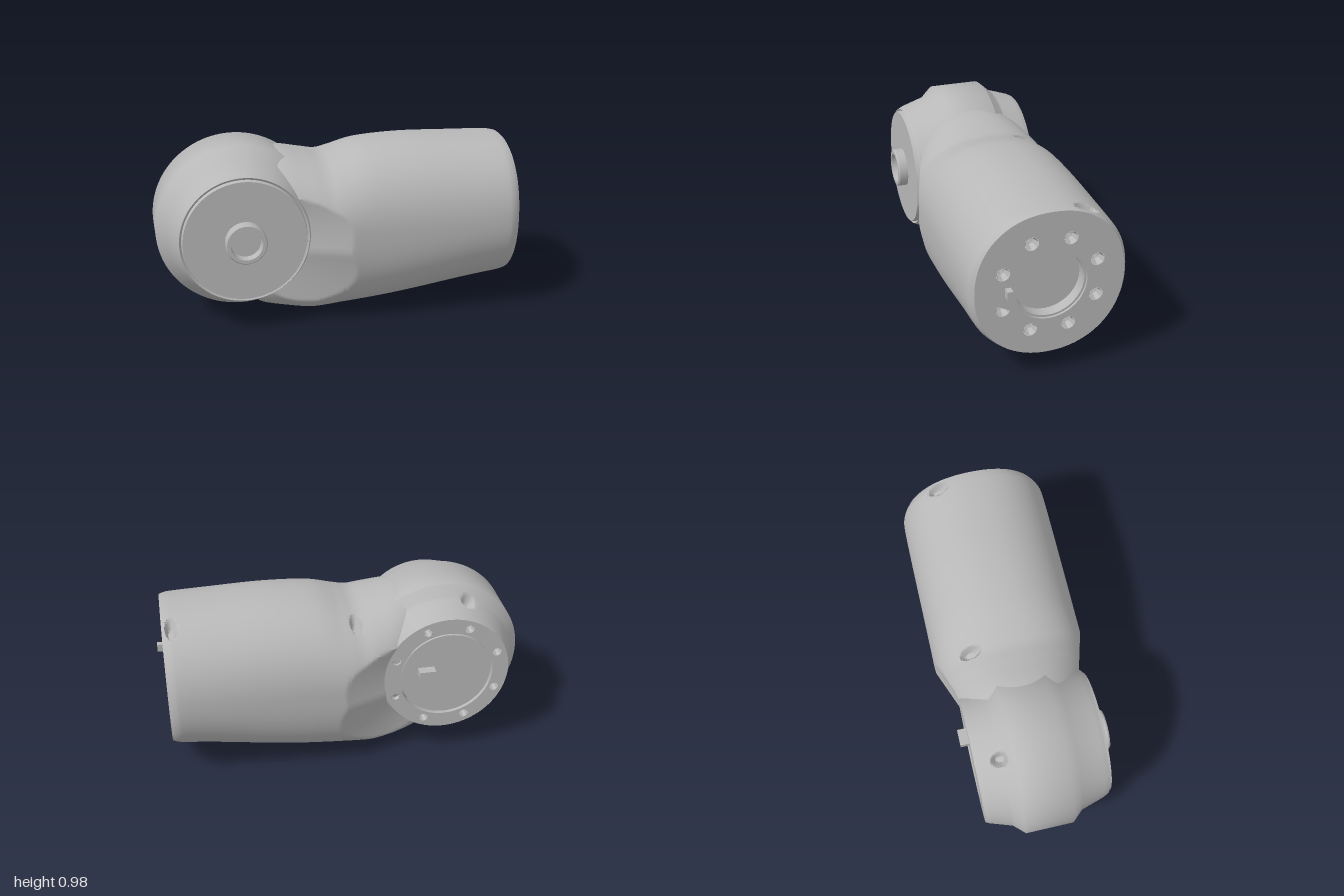
import * as THREE from 'three';
import { toCreasedNormals } from 'three/addons/utils/BufferGeometryUtils.js';

const CX = -0.545, CY = 0.53;   // joint axis, runs along z
const { smoothstep, clamp, degToRad } = THREE.MathUtils;

// Body sections: x, top, bottom, half width
const SECTIONS = [
  [-0.50, 0.93, 0.09, 0.22], [-0.43, 0.935, 0.04, 0.28], [-0.30, 0.928, 0.02, 0.36],
  [-0.17, 0.90, 0.005, 0.40], [-0.08, 0.884, 0.011, 0.412], [0.0, 0.90, 0.022, 0.42],
  [0.15, 0.94, 0.036, 0.42], [0.40, 0.955, 0.065, 0.42], [0.68, 0.947, 0.10, 0.42],
  [0.88, 0.94, 0.124, 0.418], [0.93, 0.937, 0.13, 0.41], [0.96, 0.932, 0.134, 0.39],
];
const heights = new THREE.CatmullRomCurve3(
  SECTIONS.map(([x, t, b]) => new THREE.Vector3(x, t, b)), false, 'catmullrom');
const widths = new THREE.CatmullRomCurve3(
  SECTIONS.map(([x, , , w]) => new THREE.Vector3(x, w, 0)), false, 'catmullrom');

// Screw pockets pressed into the body: x, z, on top (1) or underneath (-1)
const POCKETS = [[-0.06, -0.22, 1], [0.91, -0.19, 1], [0.91, -0.19, -1]];
const press = d => clamp((1 - d) * 2, 0, 1);   // pocket depth from rim to floor

function bodyPoint(u, t) {
  const h = heights.getPoint(u), hw = widths.getPoint(u).y;
  // the underside is squarer near the joint
  const power = Math.sin(t) > 0 ? 2.2 : 2.5 - 0.4 * smoothstep(h.x, 0.2, 0.9);
  const bend = v => Math.sign(v) * Math.abs(v) ** (2 / power);
  const c = bend(Math.cos(t)), s = bend(Math.sin(t));
  let y = CY + s * (s > 0 ? h.y - CY : CY - h.z);
  // flanks are scooped away around the joint, deeper towards the bottom
  const d = Math.hypot(h.x - CX, y - CY);
  const limit = 0.32 + 0.4 * Math.max(0, d - 0.32) - 0.4 * Math.max(0, CY - y - 0.1);
  const z = clamp(hw * c, -limit, limit);
  for (const [px, pz, side] of POCKETS)
    if (s * side > 0) y -= side * 0.05 * press(Math.hypot((h.x - px) / 0.034, (z - pz) / 0.06));
  return new THREE.Vector3(h.x, y, z);
}

function bodyGeometry(slices, sides) {
  const pos = [], index = [];
  for (let i = 0; i <= slices; i++)
    for (let j = 0; j < sides; j++)
      pos.push(...bodyPoint(i / slices, (j / sides) * Math.PI * 2).toArray());
  for (let i = 0; i < slices; i++)
    for (let j = 0; j < sides; j++) {
      const k = (j + 1) % sides;
      const a = i * sides + j, b = a + sides, c = i * sides + k, d = c + sides;
      index.push(a, b, c, b, d, c);
    }
  const g = new THREE.BufferGeometry();
  g.setAttribute('position', new THREE.Float32BufferAttribute(pos, 3));
  g.setIndex(index);
  return toCreasedNormals(g, 0.6);
}

const lathe = (points, sides) => new THREE.LatheGeometry(
  points.map(([r, y]) => new THREE.Vector2(r, y)), sides);

// Joint drum, turned about z, with screw pockets in its rear bevel
function drumGeometry() {
  const profile = [[0.35, -0.33], [0.36, -0.31], [0.40, -0.19], [0.455, -0.13], [0.455, 0.13],
    [0.40, 0.19], [0.36, 0.32], [0.345, 0.35], [0.334, 0.343], [0.328, 0.365], [0, 0.365]];
  const fine = [];
  profile.forEach((p, i) => {
    const q = profile[i + 1];
    const n = q && i < 3 ? 12 : 1;
    for (let k = 0; k < n; k++)
      fine.push(q ? [p[0] + (q[0] - p[0]) * k / n, p[1] + (q[1] - p[1]) * k / n] : p);
  });
  const g = lathe(fine, 240).rotateX(Math.PI / 2);
  const p = g.attributes.position;
  for (let i = 0; i < p.count; i++) {
    const x = p.getX(i), y = p.getY(i), z = p.getZ(i);
    for (const deg of [110, 200, 270]) {
      const a = degToRad(deg);
      const d = Math.hypot((x - 0.4 * Math.cos(a)) / 0.04, (y - 0.4 * Math.sin(a)) / 0.04,
        (z + 0.2) / 0.055);
      const k = 1 - 0.12 * press(d);
      if (d < 1) p.setXY(i, x * k, y * k);
    }
  }
  return toCreasedNormals(g, 0.8);
}

// Eight bolt positions on a circle
const boltCircle = r => Array.from({ length: 8 }, (_, i) => {
  const a = (i + 0.5) * Math.PI / 4;
  return [r * Math.cos(a), r * Math.sin(a)];
});

const circlePath = (x, y, r) => new THREE.Path().absarc(x, y, r, 0, Math.PI * 2, true);

export function createModel() {
  const model = new THREE.Group();
  const casting = new THREE.MeshStandardMaterial({ color: 0xb8b8b8, side: THREE.DoubleSide });
  casting.name = 'grey casting';

  const add = (name, geometry, parent = model, x = 0, y = 0, z = 0) => {
    const m = new THREE.Mesh(geometry, casting);
    m.name = name;
    m.position.set(x, y, z);
    parent.add(m);
  };
  // flat face (facing +z) with bolt pits and a central opening
  const boltedFace = (name, outline, bore, boltRadius, holeRadius) => {
    const group = new THREE.Group();
    group.name = name;
    outline.holes.push(circlePath(0, 0, bore));
    for (const [x, y] of boltCircle(boltRadius)) {
      outline.holes.push(circlePath(x, y, holeRadius));
      const pit = lathe([[0, -0.05], [holeRadius * 0.6, -0.04], [holeRadius, 0]], 7);
      add('boltPit', toCreasedNormals(pit.rotateX(Math.PI / 2), 0.2), group, x, y);
    }
    add(name + 'Plate', new THREE.ShapeGeometry(outline, 24), group);
    model.add(group);
    return group;
  };

  add('armBody', bodyGeometry(132, 160));

  // End flange of the arm
  const rim = Array.from({ length: 80 }, (_, i) => {
    const p = bodyPoint(1, (i / 80) * Math.PI * 2);
    return new THREE.Vector2(-p.z, p.y - CY);
  });
  const flange = boltedFace('endFlange', new THREE.Shape(rim), 0.195, 0.265, 0.036);
  flange.position.set(0.96, CY, 0);
  flange.rotation.y = Math.PI / 2;
  const bore = lathe([[0, -0.07], [0.18, -0.07], [0.183, -0.012], [0.195, -0.012], [0.195, 0]], 48);
  add('endBore', toCreasedNormals(bore.rotateX(Math.PI / 2), 0.5), flange);
  add('endPin', new THREE.BoxGeometry(0.05, 0.045, 0.03), model, 0.975, 0.53, 0.22);

  // Joint drum
  add('jointDrum', drumGeometry(), model, CX, CY, 0);

  // Hollow boss on the front of the joint
  const boss = lathe([[0.11, 0.36], [0.11, 0.412], [0.104, 0.42], [0.085, 0.42], [0.08, 0.375], [0, 0.375]], 32);
  add('frontBoss', toCreasedNormals(boss.rotateX(Math.PI / 2), 0.5), model, CX, CY, 0);

  // Bolted ring and recessed cover on the back of the joint
  const ring = new THREE.Shape().absarc(0, 0, 0.35, 0, Math.PI * 2, false);
  const back = boltedFace('rearRing', ring, 0.262, 0.302, 0.024);
  back.position.set(CX, CY, -0.33);
  back.rotation.y = Math.PI;
  const cover = lathe([[0.262, 0], [0.262, -0.03], [0.25, -0.03], [0.25, -0.005], [0, -0.005]], 64);
  add('rearCover', toCreasedNormals(cover.rotateX(Math.PI / 2), 0.5), back);
  add('rearPin', new THREE.BoxGeometry(0.09, 0.035, 0.05), model, -0.43, 0.57, -0.35);

  return model;
}
